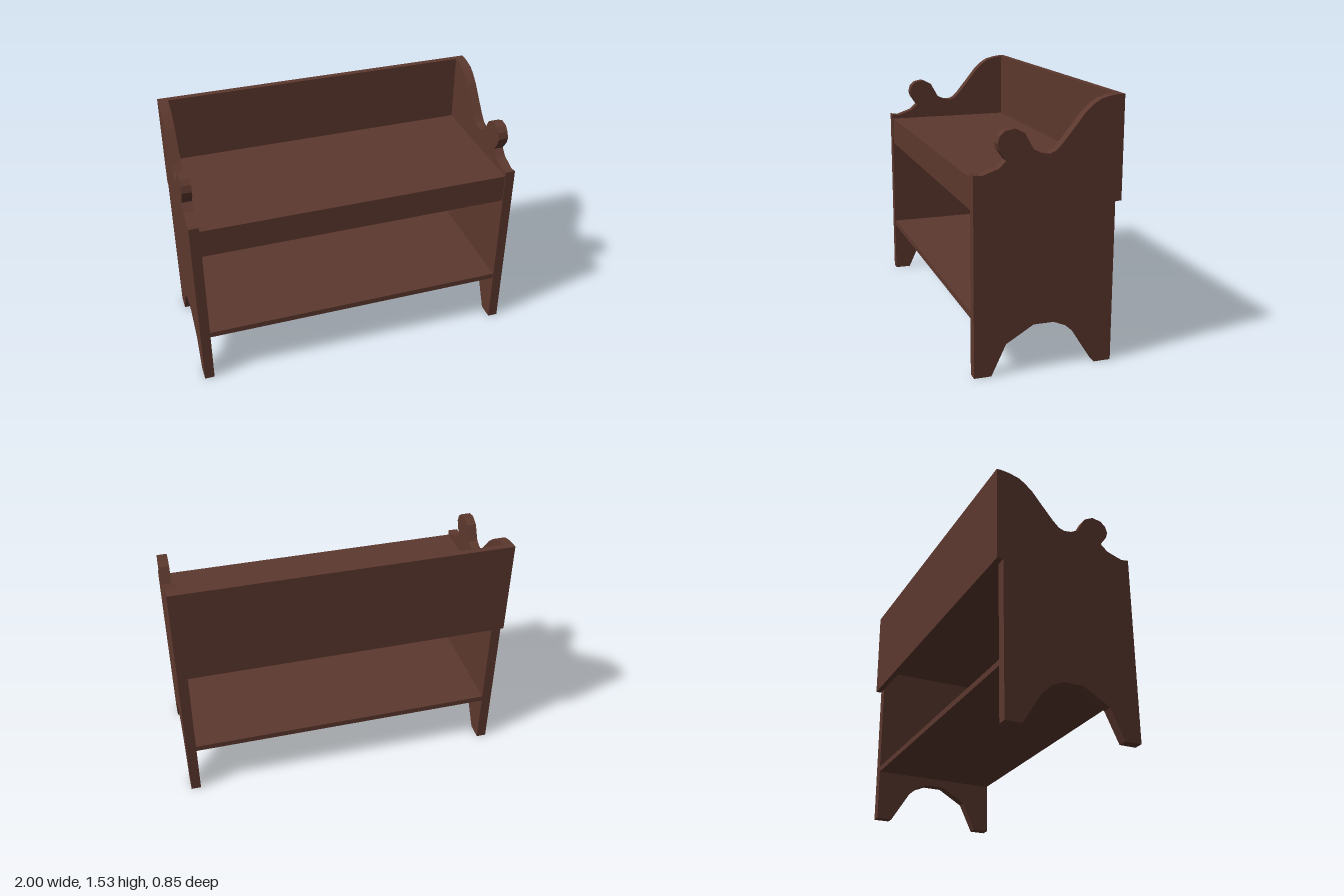
import * as THREE from 'three';

const WOOD = new THREE.MeshStandardMaterial({ color: 0x5c382e });
WOOD.name = 'brown wood';
WOOD.flatShading = true;

// Side board outline as [z, y]
const OUTLINE = [
  // front foot, arched cut-out, back foot
  [0.425, 0], [0.325, 0], [0.24, 0.18], [0.08, 0.275], [-0.04, 0.275],
  [-0.11, 0.245], [-0.17, 0.19], [-0.29, 0], [-0.39, 0],
  // back edge and sweeping shoulder
  [-0.39, 1.53], [-0.35, 1.525], [-0.29, 1.51], [-0.25, 1.485], [-0.2, 1.44],
  [-0.14, 1.365], [-0.07, 1.28], [-0.035, 1.245], [0, 1.232], [0.045, 1.238], [0.09, 1.26],
  // round knob
  [0.14, 1.35], [0.195, 1.378], [0.25, 1.368], [0.28, 1.34], [0.292, 1.3], [0.282, 1.265],
  // notch and armrest tip
  [0.243, 1.21], [0.285, 1.17], [0.38, 1.138], [0.425, 1.145],
];

function board(name, w, yMin, yMax, zMin, zMax) {
  const mesh = new THREE.Mesh(new THREE.BoxGeometry(w, yMax - yMin, zMax - zMin), WOOD);
  mesh.position.set(0, (yMin + yMax) / 2, (zMin + zMax) / 2);
  mesh.name = name;
  return mesh;
}

export function createModel() {
  const bench = new THREE.Group();
  bench.name = 'bench';

  // Scrolled side boards
  const shape = new THREE.Shape(OUTLINE.map(([z, y]) => new THREE.Vector2(-z, y)));
  const sideGeometry = new THREE.ExtrudeGeometry(shape, { depth: 0.06, bevelEnabled: false });
  sideGeometry.rotateY(Math.PI / 2);
  for (const [name, x] of [['leftSide', 0.94], ['rightSide', -1]]) {
    const side = new THREE.Mesh(sideGeometry, WOOD);
    side.position.x = x;
    side.name = name;
    bench.add(side);
  }

  // Boards spanning the two sides
  bench.add(
    board('backBoard', 2, 0.94, 1.53, -0.427, -0.39),
    board('seat', 1.88, 1.08, 1.115, -0.39, 0.42),
    board('frontApron', 1.88, 0.94, 1.08, 0.385, 0.42),
    board('lowerShelf', 1.88, 0.325, 0.36, -0.39, 0.42),
  );
  return bench;
}
